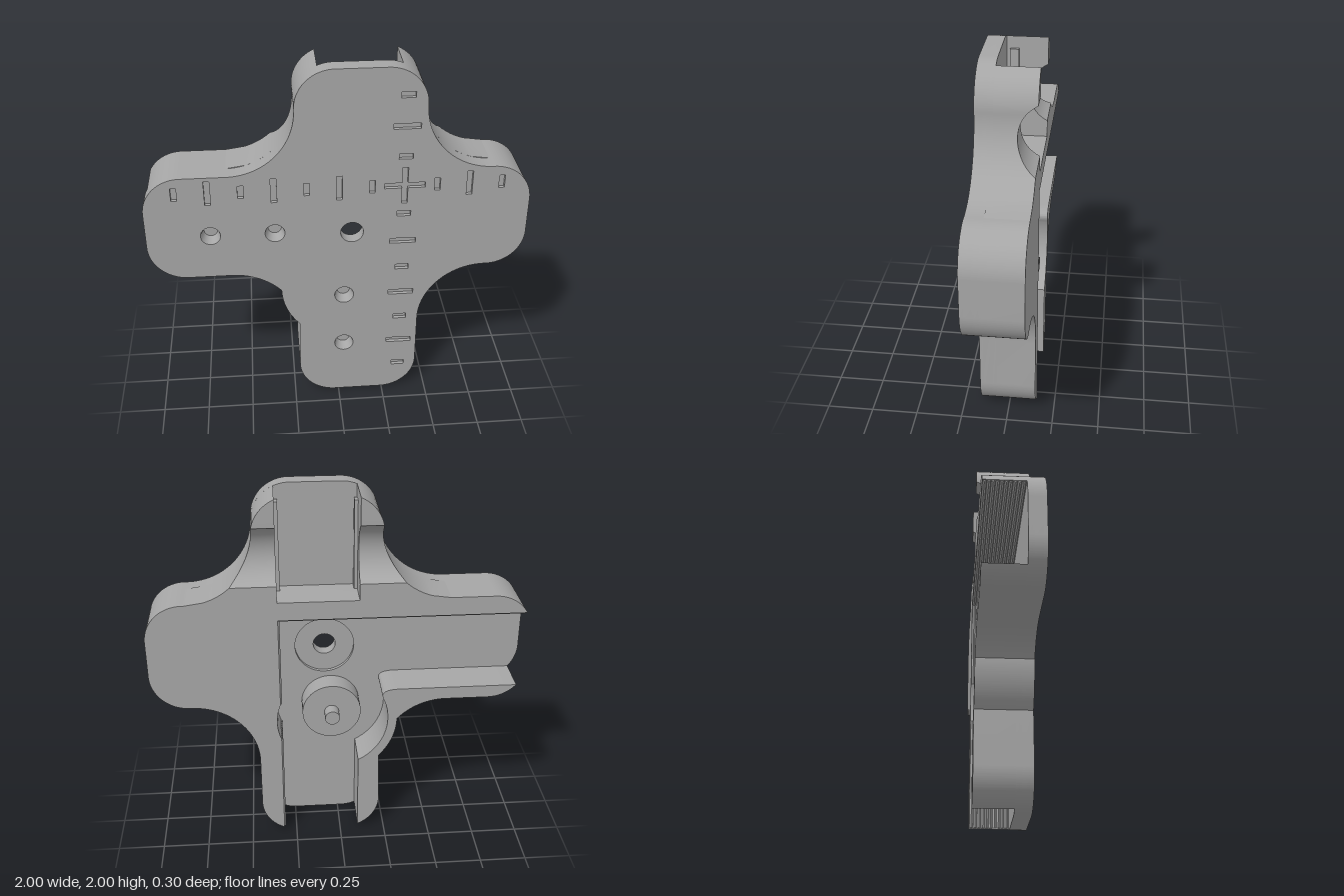
import * as THREE from 'three';
import { toCreasedNormals } from 'three/addons/utils/BufferGeometryUtils.js';

const PI = Math.PI;
const FRONT = 0.15, BACK = -0.15, FLOOR = 0.06;
const SLOT_R = 0.32, SLOT_L = -0.1;           // channel side walls
const POCKET = [0.04, 0.73];                  // round pocket centre

// Right edge from the lower corner up to the top of the right arm
function rightSide(s, startAngle) {
  s.absarc(0.24, 0.2, 0.2, startAngle, 0, false);
  s.absarc(0.79, 0.49, 0.35, PI, PI / 2, true);
  s.absarc(0.8, 1.04, 0.2, -PI / 2, 0, false);
  s.absarc(0.8, 1.24, 0.2, 0, PI / 2, false);
}

// Lower left edge from the left arm round the bulge to the foot
function lowerLeft(s, startAngle, endAngle) {
  s.absarc(-0.8, 1.04, 0.2, startAngle, 1.5 * PI, false);
  s.absarc(-0.57, 0.49, 0.35, PI / 2, 0.745, true);
  s.absarc(POCKET[0], POCKET[1], 0.35, PI, PI + 0.755, false);
  s.lineTo(-0.22, 0.2);
  s.absarc(-0.02, 0.2, 0.2, PI, endAngle, false);
}

function outline() {
  const s = new THREE.Shape();
  s.moveTo(-0.02, 0);
  rightSide(s, -PI / 2);
  s.absarc(0.79, 1.79, 0.35, -PI / 2, -PI, true);
  s.absarc(0.24, 1.8, 0.2, 0, PI / 2, false);
  s.absarc(-0.02, 1.8, 0.2, PI / 2, PI, false);
  s.absarc(-0.57, 1.79, 0.35, 0, -PI / 2, true);
  s.absarc(-0.8, 1.24, 0.2, PI / 2, PI, false);
  lowerLeft(s, PI, 1.5 * PI);
  return s;
}

const circle = (x, y, r) => new THREE.Path().absarc(x, y, r, 0, 2 * PI, true);

function polygon(points) {
  return new THREE.Path(points.map(([x, y]) => new THREE.Vector2(x, y)));
}

function rect(x, y, w, h) {
  const a = w / 2, b = h / 2;
  return polygon([[x - a, y - b], [x - a, y + b], [x + a, y + b], [x + a, y - b]]);
}

export function createModel() {
  const model = new THREE.Group();
  const grey = new THREE.MeshStandardMaterial({ color: 0xa6a6a6, side: THREE.DoubleSide });
  grey.name = 'grey';

  const add = (name, geometry, x = 0, y = 0, z = 0) => {
    const mesh = new THREE.Mesh(geometry, grey);
    mesh.name = name;
    mesh.position.set(x, y, z);
    model.add(mesh);
  };
  const slab = (name, shape, z0, z1, holes = []) => {
    shape.holes.push(...holes);
    const g = new THREE.ExtrudeGeometry(shape, { depth: z1 - z0, bevelEnabled: false, curveSegments: 28 });
    add(name, toCreasedNormals(g, 0.5), 0, 0, z0);
  };
  const rod = (name, r, z0, z1, x, y) =>
    add(name, new THREE.CylinderGeometry(r, r, z1 - z0, 40).rotateX(PI / 2), x, y, (z0 + z1) / 2);

  // Engraved scale marks along both axes, with a cross at the origin
  const ox = 0.34, oy = 1.35, pitch = 0.168, t = 0.015, c = 0.105;
  const marks = [polygon([
    [ox - t, oy + c], [ox + t, oy + c], [ox + t, oy + t], [ox + c, oy + t], [ox + c, oy - t], [ox + t, oy - t],
    [ox + t, oy - c], [ox - t, oy - c], [ox - t, oy - t], [ox - c, oy - t], [ox - c, oy + t], [ox - t, oy + t],
  ])];
  for (let k = -7; k <= 3; k++) {
    if (k === 0) continue;
    const length = k % 2 ? 0.072 : 0.138;
    marks.push(rect(ox + k * pitch, oy, 0.03, length), rect(ox, oy + k * pitch, length, 0.03));
  }

  // Front plate in layers: marks, screw holes, sight hole and its rear recess
  const screws = [[-0.667, 1.095], [-0.333, 1.095], [0.03, 0.675], [0.03, 0.34]];
  const screwHoles = () => screws.map(([x, y]) => circle(x, y, 0.052));
  const sight = (r = 0.06) => circle(0.07, 1.08, r);
  slab('frontSkin', outline(), 0.13, FRONT, [...marks, ...screwHoles(), sight()]);
  slab('plateCore', outline(), 0.09, 0.13, [...screwHoles(), sight()]);
  slab('plateBack', outline(), 0.08, 0.09, [sight()]);
  slab('channelFloor', outline(), FLOOR, 0.08, [sight(0.16)]);
  for (const [x, y] of screws) {
    add('screwSeat', new THREE.CylinderGeometry(0.052, 0.035, 0.06, 32, 1, true).rotateX(PI / 2), x, y, 0.12);
  }

  // Main wall: right side and the bar above the horizontal channel
  const main = new THREE.Shape();
  main.moveTo(SLOT_R, 0.017);
  rightSide(main, -1.159);
  main.lineTo(-0.8, 1.44);
  main.absarc(-0.8, 1.24, 0.2, PI / 2, PI * 5 / 6, false);
  main.lineTo(SLOT_R, 1.34);
  main.absarc(POCKET[0], POCKET[1], 0.3, 0.367, -0.367, true);
  slab('mainWall', main, BACK, FLOOR);

  // Lower left wall, hollowed by the round pocket
  const corner = new THREE.Shape();
  corner.moveTo(-0.952, 0.91);
  lowerLeft(corner, PI + 0.708, PI + 1.159);
  corner.lineTo(SLOT_L, 0.465);
  corner.absarc(POCKET[0], POCKET[1], 0.3, 4.227, 2.75, true);
  corner.quadraticCurveTo(-0.2, 0.91, -0.32, 0.91);
  slab('cornerWall', corner, BACK, FLOOR);

  // Upper arm walls as sections along y, with a round notch across the back
  const arc = (r, d) => Math.sqrt(Math.max(0, r * r - d * d));
  const outerX = (y) => {
    if (y < 1.79) return 0.79 - arc(0.35, 1.79 - y);
    return y < 1.8 ? 0.44 : 0.24 + arc(0.2, y - 1.8);
  };
  const backZ = (y) => Math.max(BACK, -0.229 + arc(0.174, y - 1.685));
  const levels = [];
  for (let i = 0; i <= 6; i++) levels.push(1.44 + 0.09 * i / 6);
  for (let i = 1; i <= 28; i++) levels.push(1.53 + 0.31 * i / 28);
  for (let i = 1; i <= 12; i++) levels.push(1.84 + 0.1433 * Math.sin(i / 12 * PI / 2));
  for (const side of [1, -1]) {
    const pos = [], index = [];
    levels.forEach((y, i) => {
      const zb = backZ(y), xo = Math.max(SLOT_R, outerX(y));
      for (const [x, z] of [[SLOT_R, zb], [SLOT_R, FLOOR], [xo, FLOOR], [xo, zb]]) {
        pos.push(side > 0 ? x : 0.22 - x, y, z);
      }
      if (i === 0) return;
      for (let j = 0; j < 4; j++) {
        const a = (i - 1) * 4 + j, b = (i - 1) * 4 + (j + 1) % 4;
        if (side > 0) index.push(a, b, b + 4, a, b + 4, a + 4);
        else index.push(a, b + 4, b, a, a + 4, b + 4);
      }
    });
    const g = new THREE.BufferGeometry();
    g.setAttribute('position', new THREE.Float32BufferAttribute(pos, 3));
    g.setIndex(index);
    add(side > 0 ? 'upperWallLeft' : 'upperWallRight', toCreasedNormals(g, 0.5));
    // Retaining rib inside the upper slot
    add('slotRib', new THREE.BoxGeometry(0.036, 0.49, 0.045), side > 0 ? SLOT_R : SLOT_L, 1.675, 0.02);
  }

  // Fine grip ridges on the two datum walls
  const ridge = (length) => new THREE.BoxGeometry(0.0125, length, 0.0125).rotateY(PI / 4);
  for (let i = 0; i < 10; i++) {
    const z = BACK + 0.012 + i * 0.0205;
    add('gripRidge', ridge(0.595), SLOT_R, 0.32, z);
    add('gripRidge', ridge(0.5), SLOT_R, 1.09, z);
    add('gripRidge', ridge(1.285).rotateZ(PI / 2), -0.325, 1.34, z);
  }

  // Clamp disc with its pin
  rod('clampDisc', 0.16, -0.06, FLOOR, ...POCKET);
  rod('clampPin', 0.04, -0.13, -0.06, ...POCKET);

  return model;
}
